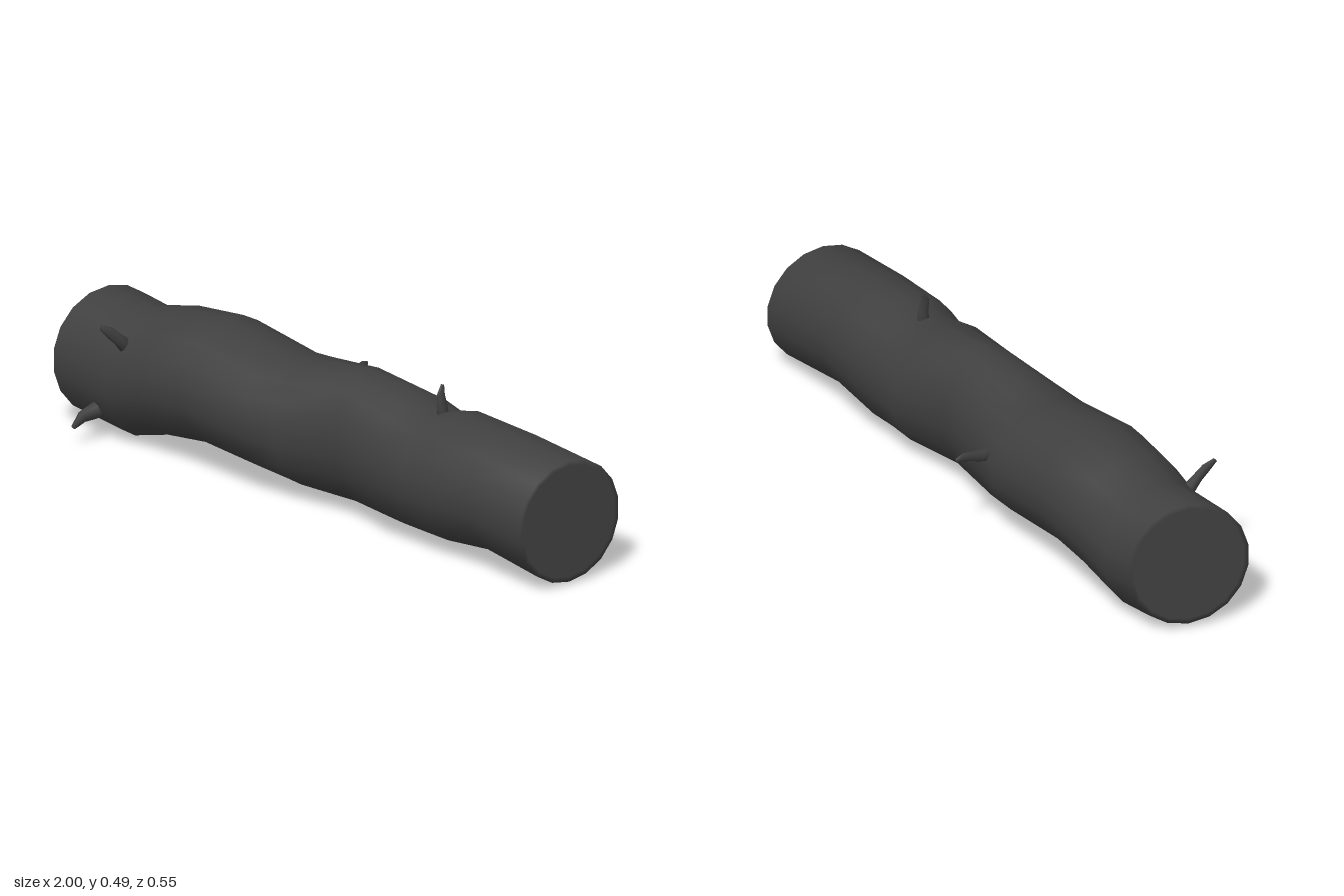
import * as THREE from 'three';

const bark = new THREE.MeshStandardMaterial({ color: 0x404040 });

// Smooth closed skin through rings of equal point count, capped at both ends
function loft(rings, name) {
  const n = rings[0].length, last = (rings.length - 1) * n;
  const points = rings.flat();
  const index = [];
  for (let i = 0; i < rings.length - 1; i++) {
    for (let j = 0; j < n; j++) {
      const a = i * n + j, b = i * n + (j + 1) % n;
      index.push(a, b, a + n, b, b + n, a + n);
    }
  }
  const centre = (ring) => ring.reduce((s, p) => s.add(p), new THREE.Vector3()).divideScalar(n);
  const start = points.length, end = start + 1;
  points.push(centre(rings[0]), centre(rings[rings.length - 1]));
  for (let j = 0; j < n; j++) {
    const k = (j + 1) % n;
    index.push(k, j, start, last + j, last + k, end);
  }
  const geo = new THREE.BufferGeometry().setFromPoints(points);
  geo.setIndex(index);
  geo.computeVertexNormals();
  const mesh = new THREE.Mesh(geo, bark);
  mesh.name = name;
  return mesh;
}

// Trunk ring: x, top, bottom, back z, front z, slant of x along z, inset scale
function trunkRing([x, top, bottom, back, front, slant = 0, scale = 1]) {
  const cy = (top + bottom) / 2, cz = (back + front) / 2;
  return Array.from({ length: 18 }, (_, j) => {
    const a = (j / 18) * Math.PI * 2;
    const y = Math.cos(a) * scale * (top - bottom) / 2;
    const z = Math.sin(a) * scale * (front - back) / 2;
    return new THREE.Vector3(x + slant * z, cy + y, cz + z);
  });
}

// Twig stub: stations of [x, y, z, half width, half thickness]
function twig(name, stations) {
  const c = stations.map(([x, y, z]) => new THREE.Vector3(x, y, z));
  const u = new THREE.Vector3(1, 0, 0);
  const rings = stations.map(([, , , w, t], i) => {
    const d = c[Math.min(i + 1, c.length - 1)].clone().sub(c[Math.max(i - 1, 0)]);
    d.x = 0;
    const v = d.normalize().cross(u);
    return Array.from({ length: 8 }, (_, j) => {
      const a = (j / 8) * Math.PI * 2;
      return c[i].clone().addScaledVector(u, t * Math.cos(a)).addScaledVector(v, w * Math.sin(a));
    });
  });
  return loft(rings, name);
}

export function createModel() {
  const group = new THREE.Group();
  group.name = 'log';

  // Wavy trunk with slanted cut ends and a soft cap rim
  const leftCut = [-0.945, 0.43, 0.02, -0.15, 0.213, -0.303];
  const rightCut = [0.972, 0.4, 0.012, -0.155, 0.215, -0.15];
  group.add(loft([
    [...leftCut, 0.92],
    leftCut,
    [-0.77, 0.41, 0.003, -0.155, 0.222],
    [-0.63, 0.445, 0.045, -0.165, 0.23],
    [-0.45, 0.465, 0.07, -0.172, 0.238],
    [-0.2, 0.425, 0.055, -0.172, 0.236],
    [-0.08, 0.437, 0.037, -0.15, 0.215],
    [0.13, 0.463, 0.037, -0.115, 0.172],
    [0.34, 0.433, 0.03, -0.157, 0.213],
    [0.44, 0.408, 0.028, -0.148, 0.207],
    [0.53, 0.43, 0.028, -0.16, 0.218],
    [0.72, 0.423, 0.048, -0.153, 0.213],
    rightCut,
    [...rightCut, 0.92],
  ].map(trunkRing), 'trunk'));

  // Four short curved twig stubs
  group.add(
    twig('topTwig', [
      [0.445, 0.38, 0.028, 0.024, 0.016],
      [0.443, 0.43, 0.028, 0.018, 0.011],
      [0.44, 0.465, 0.032, 0.016, 0.008],
      [0.435, 0.493, 0.02, 0.006, 0.004],
    ]),
    twig('upperFrontTwig', [
      [-0.735, 0.325, 0.165, 0.026, 0.018],
      [-0.738, 0.365, 0.205, 0.018, 0.012],
      [-0.742, 0.393, 0.235, 0.017, 0.01],
      [-0.748, 0.414, 0.264, 0.008, 0.005],
    ]),
    twig('lowerFrontTwig', [
      [-0.835, 0.115, 0.16, 0.034, 0.026],
      [-0.84, 0.103, 0.2, 0.028, 0.02],
      [-0.85, 0.094, 0.24, 0.023, 0.012],
      [-0.86, 0.064, 0.27, 0.009, 0.005],
    ]),
    twig('backTwig', [
      [-0.155, 0.284, -0.13, 0.027, 0.018],
      [-0.157, 0.29, -0.175, 0.02, 0.011],
      [-0.16, 0.303, -0.22, 0.016, 0.008],
      [-0.163, 0.31, -0.25, 0.014, 0.007],
      [-0.166, 0.31, -0.275, 0.006, 0.004],
    ]),
  );
  return group;
}
